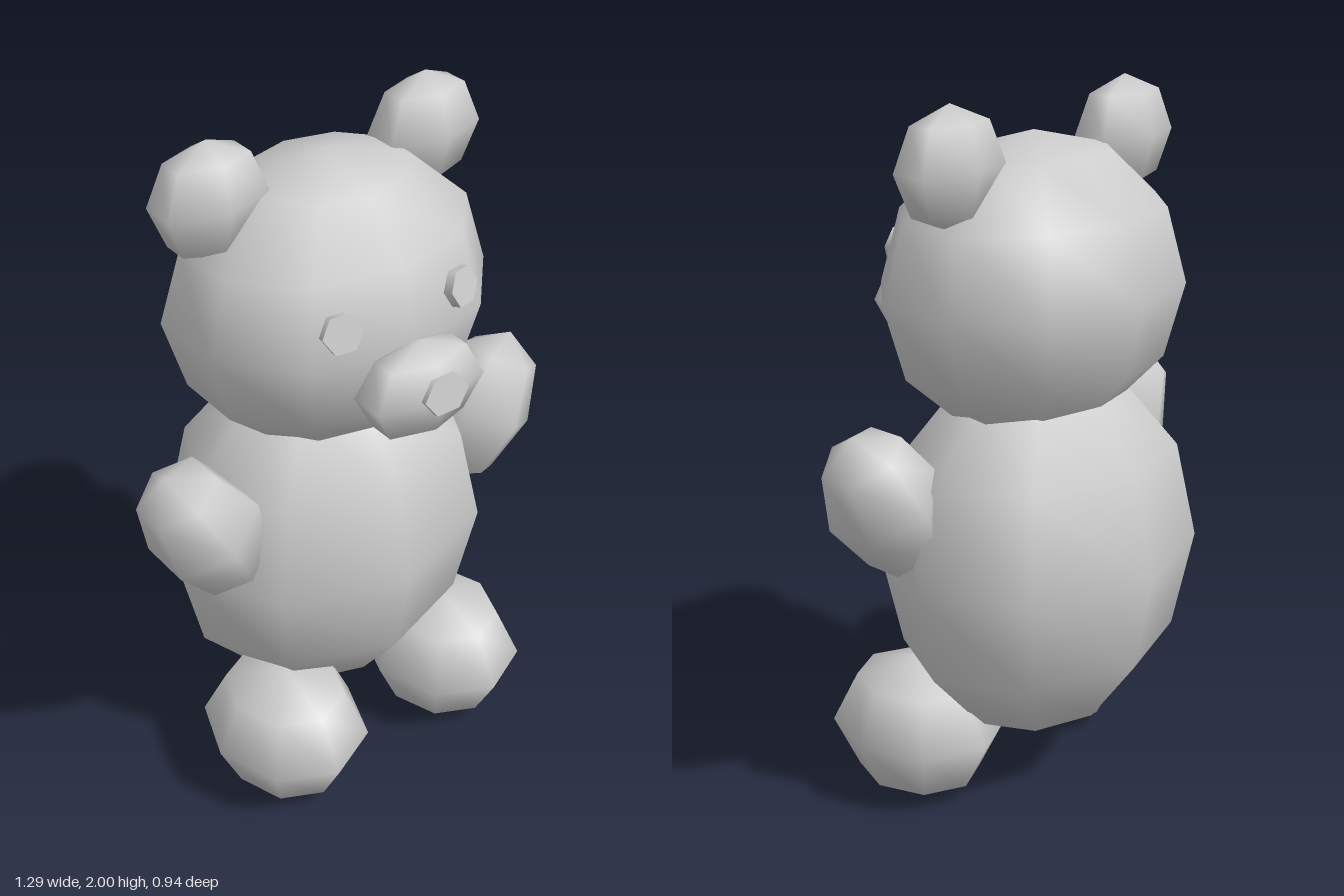
import * as THREE from 'three';

const material = new THREE.MeshStandardMaterial({ color: 0xcccccc });

// Low-poly smooth ellipsoid with a corner column facing front
function ellipsoid(name, [x, y, z], [rx, ry, rz], around, rows) {
  const geometry = new THREE.SphereGeometry(1, around, rows);
  geometry.rotateY(Math.PI / 2);
  geometry.scale(rx, ry, rz);
  const mesh = new THREE.Mesh(geometry, material);
  mesh.name = name;
  mesh.position.set(x, y, z);
  return mesh;
}

// Thin six-sided button facing front
function button(name, [x, y, z], rx, ry, depth) {
  const geometry = new THREE.CylinderGeometry(1, 1, depth, 6);
  geometry.rotateY(Math.PI / 2);
  geometry.rotateX(Math.PI / 2);
  geometry.translate(0, 0, -depth / 2);
  geometry.scale(rx, ry, 1);
  const mesh = new THREE.Mesh(geometry, material);
  mesh.name = name;
  mesh.position.set(x, y, z);
  return mesh;
}

export function createModel() {
  const bear = new THREE.Group();
  bear.name = 'teddyBear';

  // Torso and head
  bear.add(ellipsoid('body', [0, 0.73, -0.067], [0.49, 0.55, 0.403], 8, 6));
  bear.add(ellipsoid('head', [0, 1.48, -0.043], [0.467, 0.41, 0.374], 10, 6));

  // Snout
  bear.add(ellipsoid('muzzle', [0, 1.385, 0.35], [0.196, 0.137, 0.1], 6, 4));
  const nose = button('nose', [0, 1.415, 0.458], 0.07, 0.055, 0.015);
  nose.rotation.x = -0.17;
  bear.add(nose);

  // Paired parts
  for (const [side, s] of [['left', 1], ['right', -1]]) {
    bear.add(ellipsoid(side + 'Ear', [s * 0.337, 1.84, -0.07], [0.17, 0.16, 0.102], 6, 4));

    const arm = ellipsoid(side + 'Arm', [s * 0.478, 0.963, 0.05], [0.163, 0.235, 0.16], 6, 4);
    arm.rotation.z = -s * 0.48;
    bear.add(arm);

    bear.add(ellipsoid(side + 'Leg', [s * 0.288, 0.208, 0.137], [0.228, 0.206, 0.262], 8, 4));

    const eye = button(side + 'Eye', [s * 0.193, 1.575, 0.285], 0.055, 0.055, 0.05);
    eye.rotation.set(-0.27, s * 0.26, 0);
    bear.add(eye);
  }
  return bear;
}
